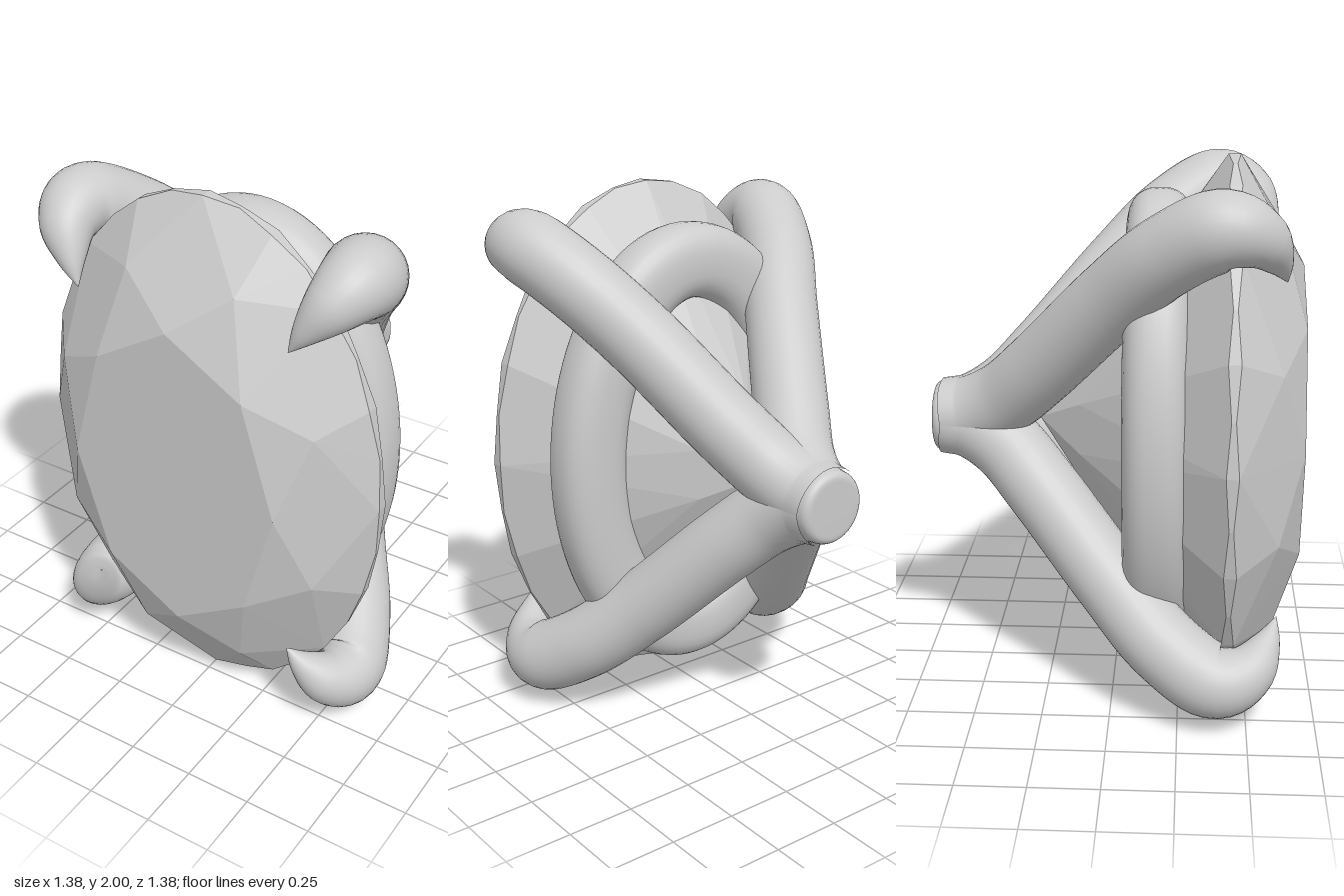
import * as THREE from 'three';
import { ConvexGeometry } from 'three/addons/geometries/ConvexGeometry.js';
import { mergeVertices } from 'three/addons/utils/BufferGeometryUtils.js';

const CY = 1; // height of the setting's axis
const metal = new THREE.MeshStandardMaterial({ color: 0xcccccc });
const facet = new THREE.MeshStandardMaterial({ color: 0xcccccc, flatShading: true });

function addMesh(parent, name, geometry, material) {
  const mesh = new THREE.Mesh(geometry, material);
  mesh.name = name;
  parent.add(mesh);
  return mesh;
}

// Weld seams so the shading is continuous
function smooth(geometry) {
  geometry.deleteAttribute('uv');
  geometry.deleteAttribute('normal');
  const welded = mergeVertices(geometry, 1e-5);
  welded.computeVertexNormals();
  return welded;
}

// Oval brilliant cut: rings of corners on scaled ellipses
function gemGeometry() {
  const points = [];
  const ring = (count, offset, r, z) => {
    for (let i = 0; i < count; i++) {
      const a = ((i + offset) / count) * Math.PI * 2;
      points.push(new THREE.Vector3(0.69 * r * Math.cos(a), CY + r * Math.sin(a), z));
    }
  };
  ring(8, 0, 0.6, 0.69);      // table
  ring(8, 0.5, 0.81, 0.6);    // star corners
  ring(16, 0, 1, 0.45);       // scalloped girdle, upper edge
  ring(16, 0.5, 1, 0.435);
  ring(16, 0.5, 1, 0.419);    // scalloped girdle, lower edge
  ring(16, 0, 1, 0.405);
  ring(8, 0.5, 0.25, -0.13);  // pavilion corners
  points.push(new THREE.Vector3(0, CY, -0.29)); // culet
  return new ConvexGeometry(points);
}

// Round arm that runs from the stem, hooks over the gem and tapers to a point
function prongGeometry(sx, sy) {
  const path = [
    [0.005, 0.005, -0.64], [0.015, 0.02, -0.55], [0.06, 0.09, -0.42], [0.15, 0.225, -0.28],
    [0.335, 0.53, 0], [0.475, 0.72, 0.2], [0.552, 0.818, 0.39],
    [0.53, 0.785, 0.5], [0.47, 0.7, 0.57], [0.42, 0.62, 0.605],
  ].map(([x, y, z]) => new THREE.Vector3(sx * x, CY + sy * y, z));
  const curve = new THREE.CatmullRomCurve3(path);
  const segments = 80, sides = 28;
  const geometry = new THREE.TubeGeometry(curve, segments, 0.14, sides);
  const pos = geometry.attributes.position;
  const v = new THREE.Vector3();
  for (let i = 0; i <= segments; i++) {
    const t = i / segments;
    const u = Math.max(0, (t - 0.78) / 0.22);
    const scale = 1 - Math.pow(u, 1.6) * 0.99;
    const centre = curve.getPointAt(t);
    for (let j = 0; j <= sides; j++) {
      const k = i * (sides + 1) + j;
      v.fromBufferAttribute(pos, k).sub(centre).multiplyScalar(scale).add(centre);
      pos.setXYZ(k, v.x, v.y, v.z);
    }
  }
  return smooth(geometry);
}

// Oval ring with a softly squared section, under the gem
function galleryGeometry() {
  const geometry = new THREE.TorusGeometry(1, 0.14, 28, 96);
  const pos = geometry.attributes.position;
  const soft = (c) => Math.sign(c) * Math.pow(Math.abs(c), 0.8);
  for (let i = 0; i < pos.count; i++) {
    const x = pos.getX(i), y = pos.getY(i);
    const a = Math.atan2(y, x);
    const across = 0.14 * soft((Math.hypot(x, y) - 1) / 0.14);
    const along = 0.12 * soft(pos.getZ(i) / 0.14);
    // offset along the normal of the ellipse
    const n = new THREE.Vector2(Math.cos(a) / 0.455, Math.sin(a) / 0.735).normalize();
    pos.setXYZ(i, 0.455 * Math.cos(a) + n.x * across, CY + 0.735 * Math.sin(a) + n.y * across, 0.16 + along);
  }
  return smooth(geometry);
}

// Short post with a rounded rim at the back
function stemGeometry() {
  const profile = [new THREE.Vector2(0, 0), new THREE.Vector2(0.1, 0)];
  for (let i = 1; i <= 6; i++) {
    const a = (i / 6) * Math.PI / 2;
    profile.push(new THREE.Vector2(0.105 + 0.03 * Math.sin(a), 0.03 - 0.03 * Math.cos(a)));
  }
  profile.push(new THREE.Vector2(0.145, 0.1), new THREE.Vector2(0.155, 0.16),
    new THREE.Vector2(0.15, 0.24), new THREE.Vector2(0.1, 0.33), new THREE.Vector2(0, 0.36));
  const geometry = new THREE.LatheGeometry(profile, 40);
  geometry.rotateX(Math.PI / 2);
  geometry.translate(0, CY, -0.69);
  return geometry;
}

export function createModel() {
  const model = new THREE.Group();
  model.name = 'gemSetting';
  addMesh(model, 'gem', gemGeometry(), facet);
  addMesh(model, 'galleryRing', galleryGeometry(), metal);
  addMesh(model, 'stem', stemGeometry(), metal);
  for (const sx of [1, -1]) {
    for (const sy of [1, -1]) {
      const name = (sy > 0 ? 'upper' : 'lower') + (sx > 0 ? 'Left' : 'Right') + 'Prong';
      addMesh(model, name, prongGeometry(sx, sy), metal);
    }
  }
  return model;
}
